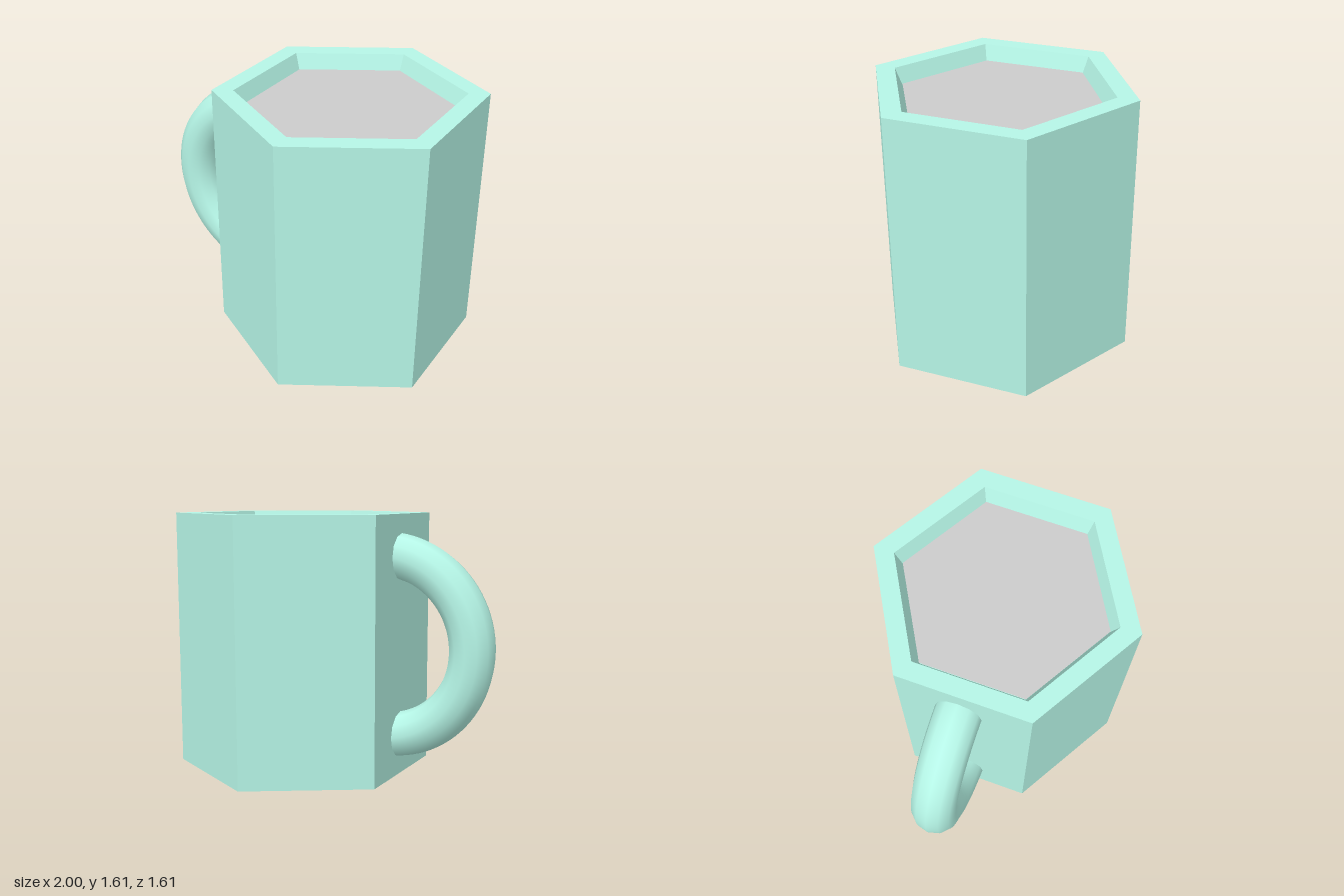
import * as THREE from 'three';

export function createModel() {
  const group = new THREE.Group();
  const color = 0xb5f5e6;
  const height = 1.614, radius = 0.807, bodyX = 0.3;

  const add = (name, geometry, material, x, y, z) => {
    const mesh = new THREE.Mesh(geometry, material);
    mesh.name = name;
    mesh.position.set(x, y, z);
    group.add(mesh);
    return mesh;
  };

  // Six-sided cup: base, outer wall, flat rim, tapering recess
  const profile = [
    [0, 0], [radius, 0], [radius, height],
    [0.68, height], [0.63, 1.5], [0, 1.5],
  ].map(([r, y]) => new THREE.Vector2(r, y));
  add('cup', new THREE.LatheGeometry(profile, 6),
    new THREE.MeshStandardMaterial({ color, flatShading: true }), bodyX, 0, 0);

  // Drink surface filling the recess
  add('drink', new THREE.CylinderGeometry(0.635, 0.625, 0.02, 6),
    new THREE.MeshStandardMaterial({ color: 0xcccccc, flatShading: true }), bodyX, 1.51, 0);

  // Half-ring handle with its ends buried in the wall
  const handle = add('handle', new THREE.TorusGeometry(0.56, 0.14, 12, 48, Math.PI),
    new THREE.MeshStandardMaterial({ color }), -0.3, 0.805, -0.03);
  handle.rotation.z = Math.PI / 2;

  return group;
}
